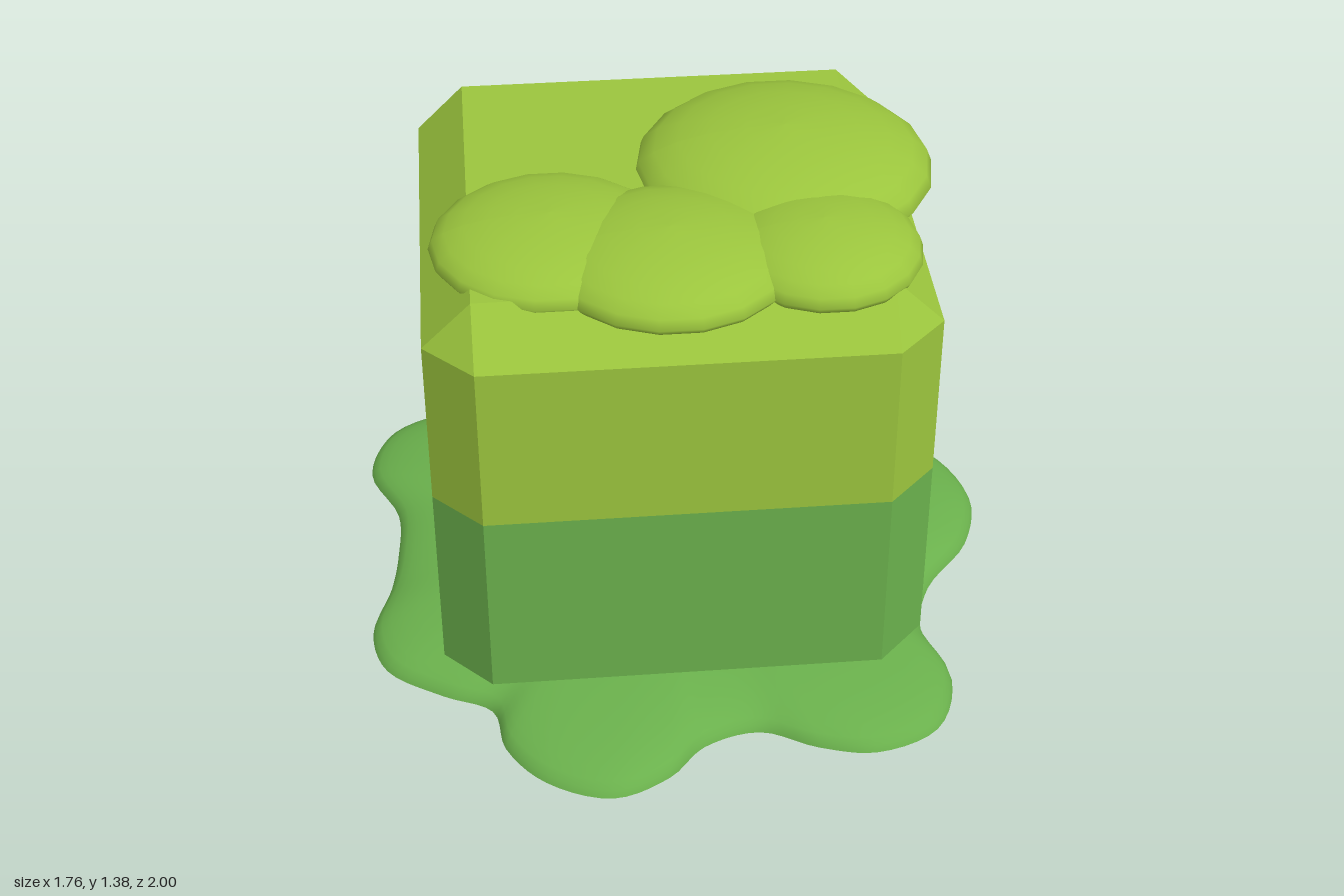
import * as THREE from 'three';

const lime = new THREE.MeshStandardMaterial({ color: 0x9bc53d });
lime.name = 'lime';
const green = new THREE.MeshStandardMaterial({ color: 0x6ab04c });
green.name = 'green';

// Skins a stack of closed rings (counter-clockwise from above, bottom to top).
function loft(rings, { flat = false, top = false, bottom = false } = {}) {
  const n = rings[0].length;
  const pts = rings.flat();
  const index = [];
  const tri = (a, b, c) => {
    const area = new THREE.Triangle(pts[a], pts[b], pts[c]).getArea();
    if (area > 1e-9) index.push(a, b, c);
  };
  for (let r = 0; r < rings.length - 1; r++) {
    for (let i = 0; i < n; i++) {
      const a = r * n + i, b = r * n + (i + 1) % n;
      tri(a, b, b + n);
      tri(a, b + n, a + n);
    }
  }
  const cap = (start, up) => {
    const centre = new THREE.Vector3();
    for (let i = 0; i < n; i++) centre.addScaledVector(pts[start + i], 1 / n);
    const c = pts.push(centre) - 1;
    for (let i = 0; i < n; i++) {
      const a = start + i, b = start + (i + 1) % n;
      if (up) tri(c, a, b); else tri(c, b, a);
    }
  };
  if (bottom) cap(0, false);
  if (top) cap((rings.length - 1) * n, true);
  let geo = new THREE.BufferGeometry().setFromPoints(pts);
  geo.setIndex(index);
  if (flat) geo = geo.toNonIndexed();
  geo.computeVertexNormals();
  return geo;
}

// Square ring with cut corners, centred on the body.
function bodyRing(y, half, inner) {
  const corners = [
    [half, inner], [half, -inner], [inner, -half], [-inner, -half],
    [-half, -inner], [-half, inner], [-inner, half], [inner, half],
  ];
  return corners.map(([x, z]) => new THREE.Vector3(x - 0.03, y, z + 0.05));
}

// Puddle outline, clockwise from above, starting at the back lobe.
const OUTLINE = [
  [-0.08, -1], [0.07, -0.94], [0.15, -0.8], [0.2, -0.7], [0.4, -0.75], [0.58, -0.7],
  [0.66, -0.56], [0.67, -0.39], [0.8, -0.3], [0.88, -0.1], [0.83, 0.1], [0.69, 0.28],
  [0.64, 0.45], [0.69, 0.65], [0.62, 0.83], [0.45, 0.9], [0.3, 0.87], [0.15, 0.8],
  [0, 0.84], [-0.1, 0.94], [-0.25, 1], [-0.42, 0.93], [-0.52, 0.8], [-0.55, 0.66],
  [-0.68, 0.59], [-0.83, 0.48], [-0.87, 0.33], [-0.82, 0.15], [-0.8, 0], [-0.8, -0.17],
  [-0.88, -0.37], [-0.82, -0.55], [-0.63, -0.64], [-0.38, -0.63], [-0.3, -0.7], [-0.24, -0.88],
];

export function createModel() {
  const model = new THREE.Group();
  const add = (name, geometry, material) => {
    const mesh = new THREE.Mesh(geometry, material);
    mesh.name = name;
    model.add(mesh);
    return mesh;
  };

  // Chamfered cube body in two colour bands
  add('lowerBody', loft([
    bodyRing(0.045, 0.515, 0.515),
    bodyRing(0.13, 0.64, 0.515),
    bodyRing(0.675, 0.64, 0.515),
  ], { flat: true, bottom: true }), green);
  add('upperBody', loft([
    bodyRing(0.675, 0.64, 0.515),
    bodyRing(1.14, 0.64, 0.515),
    bodyRing(1.265, 0.515, 0.515),
  ], { flat: true, top: true }), lime);

  // Soft overlapping blobs on top: x, z, radius x, radius z, height
  const blobs = [
    [0.28, 0, 0.39, 0.39, 0.13],
    [-0.34, 0.3, 0.305, 0.295, 0.092],
    [-0.05, 0.4, 0.31, 0.305, 0.1],
    [0.33, 0.39, 0.25, 0.26, 0.095],
  ];
  blobs.forEach(([x, z, rx, rz, height], i) => {
    const geo = new THREE.SphereGeometry(1, 18, 12);
    const p = geo.attributes.position;
    for (let k = 0; k < p.count; k++) {
      const y = p.getY(k);
      p.setXYZ(k, p.getX(k) * rx, y * (y > 0 ? height : 0.062), p.getZ(k) * rz);
    }
    geo.computeVertexNormals();
    add('topBlob' + (i + 1), geo, lime).position.set(x, 1.25, z);
  });

  // Lobed puddle with a rounded rim and a flat underside
  const curve = new THREE.CatmullRomCurve3(
    OUTLINE.map(([x, z]) => new THREE.Vector3(x, 0, z)).reverse(), true);
  const edge = curve.getPoints(180).slice(0, 180);
  const ring = (t) => edge.map((p) =>
    new THREE.Vector3(p.x * t, 0.095 * Math.sqrt(1 - t ** 3.5), p.z * t));
  const steps = [1, 0.99, 0.97, 0.94, 0.9, 0.85, 0.78, 0.7, 0.6, 0.4];
  add('puddle', loft(steps.map(ring), { top: true }), green);
  add('puddleUnderside', loft([ring(1)], { bottom: true }), green);

  return model;
}
